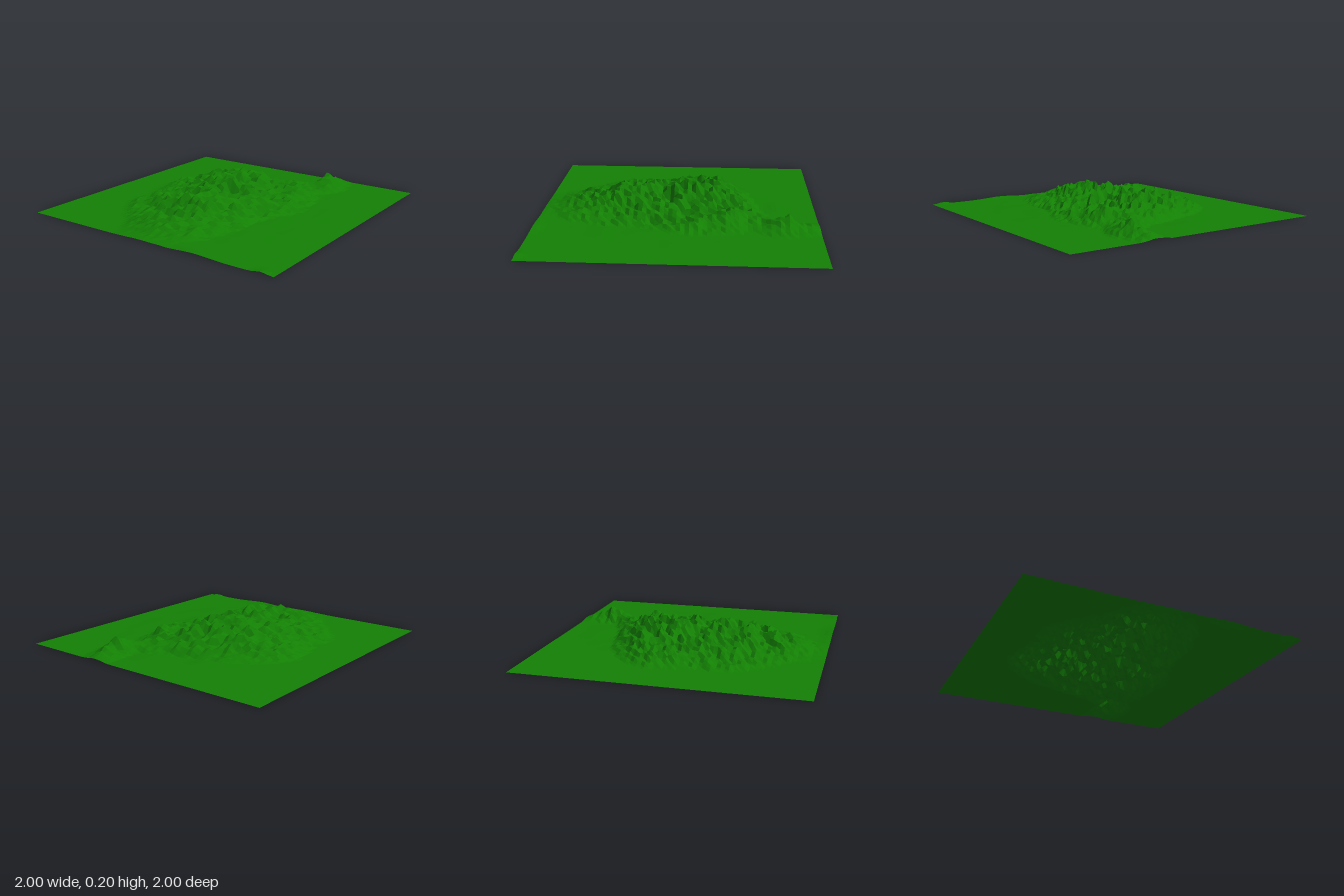
import * as THREE from 'three';

// Massif cross-sections from back to front: z, left foot, crest x, right foot, crest height
const SECTIONS = [
  [-1.0, 0.26, 0.40, 0.50, 0.02], [-0.9, 0.27, 0.40, 0.52, 0.065],
  [-0.8, 0.26, 0.39, 0.54, 0.12], [-0.7, 0.28, 0.40, 0.54, 0.085],
  [-0.6, 0.03, 0.30, 0.50, 0.055], [-0.5, -0.38, 0.14, 0.49, 0.095],
  [-0.4, -0.52, 0.02, 0.51, 0.14], [-0.3, -0.62, -0.06, 0.54, 0.19],
  [-0.15, -0.70, -0.10, 0.57, 0.20], [0.0, -0.67, -0.06, 0.53, 0.20],
  [0.1, -0.66, -0.02, 0.48, 0.16], [0.2, -0.66, 0.00, 0.43, 0.18],
  [0.3, -0.66, 0.02, 0.40, 0.15], [0.44, -0.63, 0.04, 0.41, 0.16],
  [0.6, -0.52, 0.04, 0.38, 0.115], [0.7, -0.42, 0.02, 0.35, 0.115],
  [0.8, -0.32, 0.02, 0.30, 0.07], [0.9, -0.28, 0.02, 0.22, 0.025],
  [1.0, -0.25, 0.02, 0.20, 0.008],
];

const { lerp, clamp, smoothstep } = THREE.MathUtils;

function sectionAt(z) {
  let i = 0;
  while (i < SECTIONS.length - 2 && z > SECTIONS[i + 1][0]) i++;
  const a = SECTIONS[i], b = SECTIONS[i + 1];
  const t = clamp((z - a[0]) / (b[0] - a[0]), 0, 1);
  return a.map((v, k) => lerp(v, b[k], t));
}

// Seeded lattice noise, 0..1
function hash(i, j) {
  let n = Math.imul(i, 374761393) + Math.imul(j, 668265263);
  n = Math.imul(n ^ (n >>> 13), 1274126177);
  return ((n ^ (n >>> 16)) >>> 0) / 4294967295;
}
function noise(x, y) {
  const i = Math.floor(x), j = Math.floor(y);
  const u = smoothstep(x - i, 0, 1), v = smoothstep(y - j, 0, 1);
  return lerp(lerp(hash(i, j), hash(i + 1, j), u), lerp(hash(i, j + 1), hash(i + 1, j + 1), u), v);
}
const ridge = (x, y) => 1 - Math.abs(2 * noise(x, y) - 1);
const bump = (x, z, cx, cz, rx, rz) => Math.exp(-(((x - cx) / rx) ** 2) - ((z - cz) / rz) ** 2);

function heightAt(x, z) {
  const [, left, crest, right, h] = sectionAt(z);
  // Slope from the crest down to either foot
  const t = x < crest ? (crest - x) / (crest - left) : (x - crest) / (right - crest);
  const slope = clamp(1 - t, 0, 1);
  // Spurs running diagonally down the flanks, broken by sharp crags
  const along = 0.87 * x - 0.5 * z, across = 0.5 * x + 0.87 * z;
  const rough = 0.5 * ridge(along * 3.2 + 7, across * 9 + 3)
    + 0.3 * ridge(along * 8 + 1, across * 15 + 5)
    + 0.4 * hash(Math.round(x * 32) + 90, Math.round(z * 32) + 90) - 0.72;
  const massif = h * (0.86 * Math.pow(slope, 0.9) + 0.9 * rough * Math.sqrt(slope));
  // Separate shoulder peak on the back right
  const shoulder = 0.07 * bump(x, z, 0.34, -0.38, 0.05, 0.06);
  // Faint swells on the surrounding plain and its edges
  const apron = 0.007 * smoothstep(1.25 - Math.hypot((x - 0.05) / 0.66, (z - 0.05) / 0.8), 0, 0.4)
    * noise(x * 8 + 20, z * 8 + 20);
  const swell = 0.012 * (bump(x, z, 0.91, 1, 0.05, 0.06) + bump(x, z, 0.42, 1, 0.16, 0.06));
  return clamp(massif + shoulder, 0, 0.195) + apron + swell;
}

export function createModel() {
  const group = new THREE.Group();
  group.name = 'mountainLandscape';

  // Square sheet raised into a mountain
  const geometry = new THREE.PlaneGeometry(2, 2, 64, 64).rotateX(-Math.PI / 2);
  const p = geometry.attributes.position;
  for (let i = 0; i < p.count; i++) p.setY(i, heightAt(p.getX(i), p.getZ(i)));
  geometry.computeVertexNormals();

  const material = new THREE.MeshStandardMaterial({
    color: 0x138004, flatShading: true, side: THREE.DoubleSide,
  });
  const terrain = new THREE.Mesh(geometry, material);
  terrain.name = 'terrain';
  group.add(terrain);
  return group;
}
